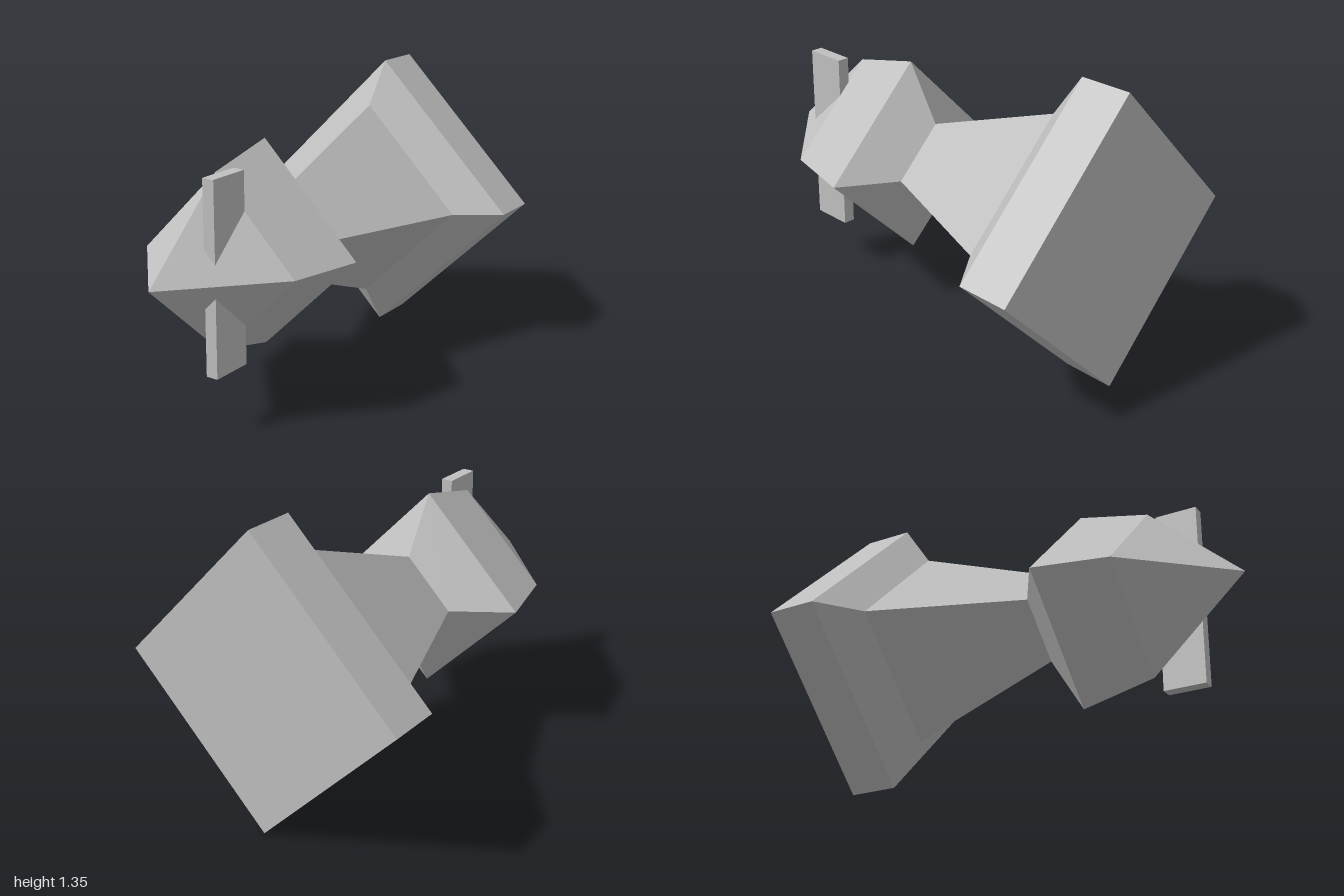
import * as THREE from 'three';

const CENTER_Y = 0.674;

export function createModel() {
  const group = new THREE.Group();
  group.name = 'ship';
  const hullGrey = new THREE.MeshStandardMaterial({ color: 0xc0c0c0 });
  hullGrey.name = 'hull grey';

  // Four-sided hull: [radius, z] from the flat stern to the pointed nose
  const profile = [
    [0, -1], [0.673, -1], [0.673, -0.765], [0.474, -0.625],
    [0.216, 0.068], [0.474, 0.228], [0.396, 0.565], [0, 1],
  ].map(([r, z]) => new THREE.Vector2(r, z));
  const hullGeometry = new THREE.LatheGeometry(profile, 4).rotateX(Math.PI / 2).toNonIndexed();
  hullGeometry.computeVertexNormals(); // flat facets
  const hull = new THREE.Mesh(hullGeometry, hullGrey);
  hull.name = 'hull';
  hull.position.y = CENTER_Y;
  group.add(hull);

  // Upright fins above and below the nose, rooted inside the hull
  for (const [name, side] of [['upperFin', 1], ['lowerFin', -1]]) {
    const fin = new THREE.Mesh(new THREE.BoxGeometry(0.056, 0.4, 0.197), hullGrey);
    fin.name = name;
    fin.position.set(0.117, CENTER_Y + side * 0.225, 0.664);
    group.add(fin);
  }
  return group;
}
